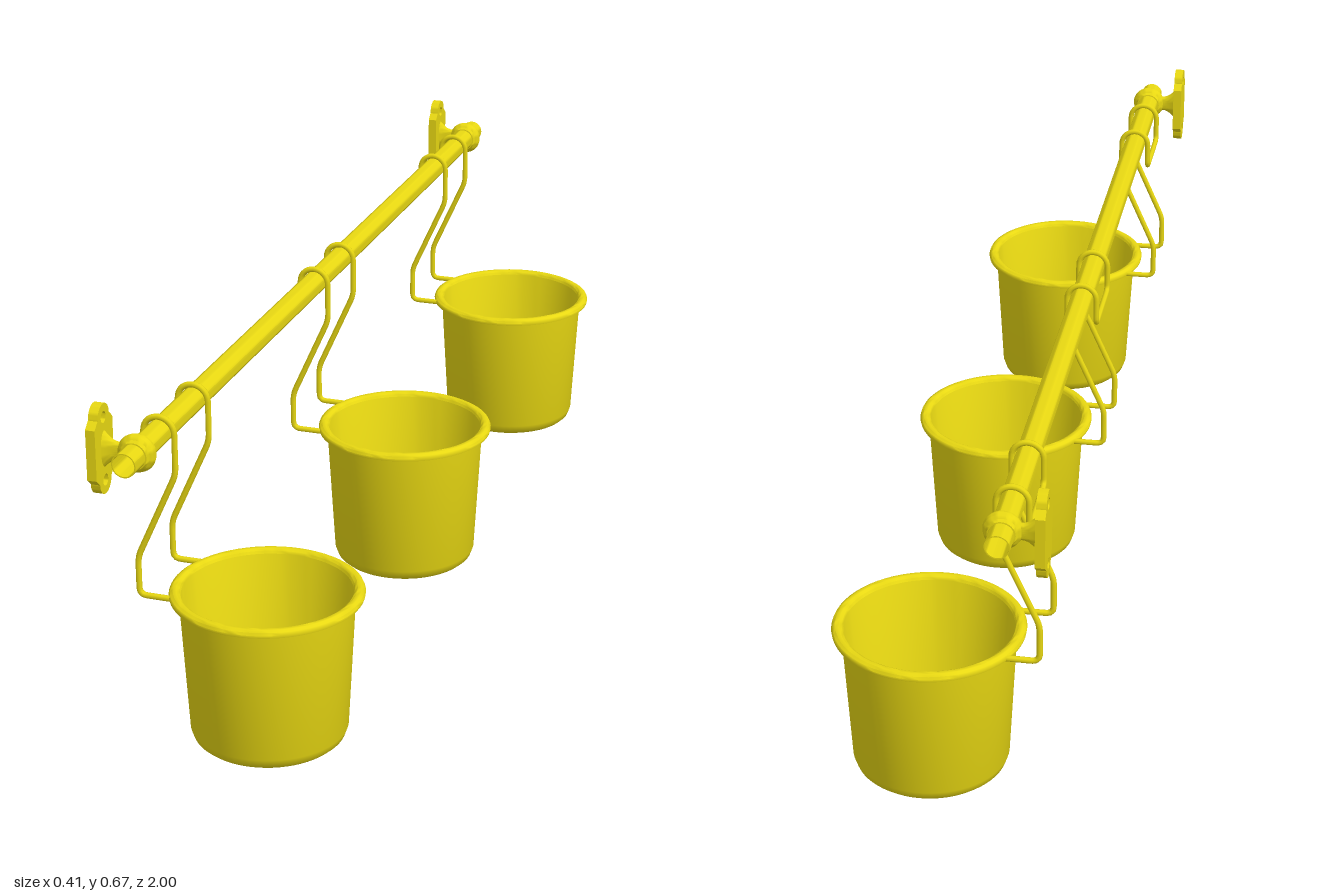
import * as THREE from 'three';
import { toCreasedNormals } from 'three/addons/utils/BufferGeometryUtils.js';

const RAIL_X = -0.13, RAIL_Y = 0.587, POT_X = 0.03;

export function createModel() {
  const material = new THREE.MeshStandardMaterial({ color: 0xe8d812 });
  const model = new THREE.Group();
  model.name = 'railWithHangingPots';

  const part = (name, geometry, parent) => {
    const mesh = new THREE.Mesh(geometry, material);
    mesh.name = name;
    parent.add(mesh);
    return mesh;
  };
  const lathe = (points, segments) => toCreasedNormals(
    new THREE.LatheGeometry(points.map(([r, y]) => new THREE.Vector2(r, y)), segments), 0.7);

  // Hollow rail along z
  const rail = part('rail', lathe(
    [[0.0195, -1], [0.0215, -1], [0.0215, 1], [0.0195, 1], [0.0195, -1]], 32), model);
  rail.rotation.x = Math.PI / 2;
  rail.position.set(RAIL_X, RAIL_Y, 0);

  // Wall brackets near both rail ends
  const plateGeometry = makePlate();
  const collarGeometry = lathe([[0.021, -0.017], [0.024, -0.017], [0.027, -0.011], [0.032, -0.007],
    [0.034, 0], [0.032, 0.007], [0.027, 0.011], [0.024, 0.017], [0.021, 0.017]], 32);
  const neckGeometry = lathe([[0.033, 0], [0.026, 0.007], [0.019, 0.016], [0.016, 0.024], [0.016, 0.034]], 28);
  for (const z of [-0.943, 0.943]) {
    const bracket = new THREE.Group();
    bracket.name = 'wallBracket';
    bracket.position.set(RAIL_X, RAIL_Y, z);
    const plate = part('wallPlate', plateGeometry, bracket);
    plate.rotation.y = Math.PI / 2;
    plate.position.x = -0.075;
    const neck = part('bracketNeck', neckGeometry, bracket);
    neck.rotation.z = -Math.PI / 2;
    neck.scale.z = 0.45;
    neck.position.x = -0.059;
    part('bracketCollar', collarGeometry, bracket).rotation.x = Math.PI / 2;
    model.add(bracket);
  }

  // Pots with rolled rims, each carried by a bent wire hanger
  const potGeometry = lathe([[0, 0.001], [0.115, 0.001], [0.126, 0.004], [0.134, 0.011], [0.139, 0.025],
    [0.153, 0.272], [0.154, 0.282], [0.162, 0.282], [0.165, 0.279], [0.166, 0.274], [0.169, 0.275],
    [0.17, 0.28], [0.168, 0.285], [0.163, 0.288], [0.156, 0.288], [0.151, 0.285], [0.149, 0.28],
    [0.135, 0.026], [0.131, 0.014], [0.124, 0.008], [0.114, 0.005], [0, 0.005]], 64);
  const hangerGeometry = new THREE.TubeGeometry(makeHangerPath(), 320, 0.0055, 8, true);
  for (const z of [-0.775, 0, 0.775]) {
    const unit = new THREE.Group();
    unit.name = 'hangingPot';
    unit.position.z = z;
    part('pot', potGeometry, unit).position.x = POT_X;
    part('wireHanger', hangerGeometry, unit);
    model.add(unit);
  }
  return model;
}

// Plate with chamfered shoulders, rounded ends and two screw holes
function makePlate() {
  const shape = new THREE.Shape();
  shape.moveTo(0.036, -0.045);
  shape.lineTo(0.036, 0.045);
  shape.lineTo(0.023, 0.057);
  shape.absarc(0, 0.057, 0.023, 0, Math.PI, false);
  shape.lineTo(-0.036, 0.045);
  shape.lineTo(-0.036, -0.045);
  shape.lineTo(-0.023, -0.057);
  shape.absarc(0, -0.057, 0.023, Math.PI, Math.PI * 2, false);
  shape.closePath();
  for (const y of [-0.056, 0.056]) {
    const hole = new THREE.Path();
    hole.absarc(0, y, 0.01, 0, Math.PI * 2, true);
    shape.holes.push(hole);
  }
  return toCreasedNormals(new THREE.ExtrudeGeometry(shape,
    { depth: 0.017, bevelEnabled: false, curveSegments: 12 }), 0.6);
}

// Closed wire: stop bar, two hooks over the rail, two legs and a ring under the rim
function makeHangerPath() {
  const half = 0.076, ringRadius = 0.16, hookRadius = 0.028, ringY = 0.278;
  const ringAngle = Math.PI - Math.asin(half / ringRadius);
  const ringStart = POT_X + ringRadius * Math.cos(ringAngle);

  // Corners of one side as [x, y, z, bend size]
  const side = [[RAIL_X - hookRadius, 0.536, 0, 0], [RAIL_X - hookRadius, 0.536, half, 0.014]];
  for (let i = 0; i <= 12; i++) {
    const a = Math.PI * (1 - i / 12);
    side.push([RAIL_X + hookRadius * Math.cos(a), RAIL_Y + hookRadius * Math.sin(a), half, 0]);
  }
  side.push([-0.102, 0.513, half, 0.014], [-0.176, 0.35, half, 0.014],
    [-0.176, ringY, half, 0.014], [ringStart, ringY, half, 0]);

  // Ring around the pot, then the other side in reverse
  const ring = [];
  for (let i = 1; i < 64; i++) {
    const a = ringAngle * (1 - i / 32);
    ring.push([POT_X + ringRadius * Math.cos(a), ringY, ringRadius * Math.sin(a), 0]);
  }
  const mirrored = side.map(([x, y, z, b]) => [x, y, -z, b]).reverse();
  const corners = [...side, ...ring, ...mirrored];

  const path = new THREE.CurvePath();
  path.arcLengthDivisions = 1000;
  const points = corners.map(([x, y, z]) => new THREE.Vector3(x, y, z));
  let last = points[0];
  for (let i = 1; i < points.length; i++) {
    const bend = corners[i][3], p = points[i];
    if (bend === 0) {
      path.add(new THREE.LineCurve3(last, p));
      last = p;
      continue;
    }
    const towards = q => p.clone().add(q.clone().sub(p).setLength(bend));
    const enter = towards(points[i - 1]), leave = towards(points[i + 1]);
    path.add(new THREE.LineCurve3(last, enter));
    path.add(new THREE.QuadraticBezierCurve3(enter, p, leave));
    last = leave;
  }
  return path;
}
